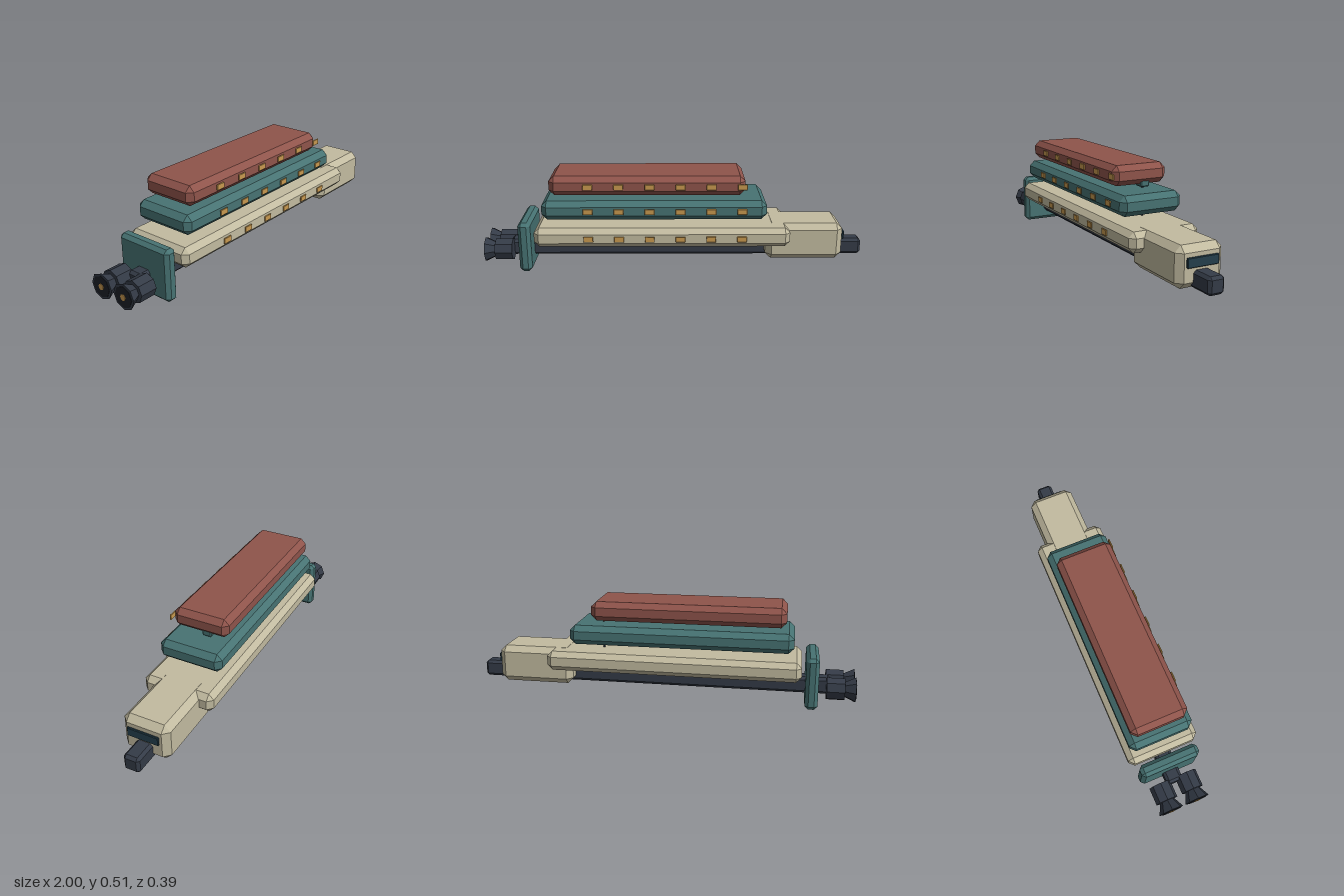
import * as THREE from 'three';
import { ConvexGeometry } from 'three/addons/geometries/ConvexGeometry.js';

const material = (color) => new THREE.MeshStandardMaterial({ color, flatShading: true });
const RED = material(0x8f544b);
const TEAL = material(0x477373);
const BEIGE = material(0xc2bba0);
const DARK = material(0x343b47);
const BLACK = material(0x1c2027);
const GLASS = material(0x243f4c);
const GOLD = material(0xc8994f);

// Box with every edge and corner chamfered, given as [min, max] per axis
function chamferBox(name, mat, x, y, z, bevel) {
  const half = [x, y, z].map(([a, b]) => (b - a) / 2);
  const points = [];
  for (const sx of [-1, 1]) for (const sy of [-1, 1]) for (const sz of [-1, 1]) {
    const signs = [sx, sy, sz];
    for (let axis = 0; axis < 3; axis++) {
      points.push(new THREE.Vector3(...half.map((h, i) => signs[i] * (i === axis ? h : h - bevel))));
    }
  }
  const mesh = new THREE.Mesh(new ConvexGeometry(points), mat);
  mesh.name = name;
  mesh.position.set((x[0] + x[1]) / 2, (y[0] + y[1]) / 2, (z[0] + z[1]) / 2);
  return mesh;
}

// Eight-sided cylinder lying along x between x0 and x1
function barrel(name, mat, x0, x1, r0, r1, y, z) {
  const geometry = new THREE.CylinderGeometry(r1, r0, x1 - x0, 8);
  geometry.rotateZ(-Math.PI / 2);
  const mesh = new THREE.Mesh(geometry, mat);
  mesh.name = name;
  mesh.position.set((x0 + x1) / 2, y, z);
  return mesh;
}

export function createModel() {
  const model = new THREE.Group();
  model.name = 'spaceship';

  // Keel beam running the whole length
  model.add(chamferBox('keelBeam', DARK, [-0.87, 1], [0.052, 0.138], [-0.046, 0.039], 0.014));

  // Stacked decks, each with a row of windows on the front side
  const decks = [
    { name: 'lowerDeck', mat: BEIGE, x: [-0.722, 0.599], y: [0.146, 0.248], z: [-0.193, 0.184], bevel: 0.027 },
    { name: 'middleDeck', mat: TEAL, x: [-0.679, 0.476], y: [0.288, 0.389], z: [-0.173, 0.164], bevel: 0.028 },
    { name: 'upperDeck', mat: RED, x: [-0.638, 0.364], y: [0.413, 0.514], z: [-0.153, 0.145], bevel: 0.028 },
  ];
  for (const deck of decks) {
    model.add(chamferBox(deck.name, deck.mat, deck.x, deck.y, deck.z, deck.bevel));
    const windows = new THREE.Group();
    windows.name = deck.name + 'Windows';
    const y = (deck.y[0] + deck.y[1]) / 2;
    const z = deck.z[1];
    for (let i = 0; i < 6; i++) {
      const x = -0.438 + i * 0.157;
      windows.add(chamferBox('window', GOLD, [x - 0.025, x + 0.025], [y - 0.015, y + 0.015], [z + 0.003, z + 0.01], 0.002));
    }
    model.add(windows);
  }

  // Bridge block at the bow with its windscreen
  model.add(chamferBox('bridge', BEIGE, [0.481, 0.882], [0.052, 0.249], [-0.127, 0.118], 0.031));
  model.add(chamferBox('windscreen', GLASS, [0.884, 0.896], [0.153, 0.2], [-0.086, 0.079], 0.003));

  // Stern bulkhead
  model.add(chamferBox('bulkhead', TEAL, [-0.808, -0.743], [0, 0.268], [-0.161, 0.153], 0.018));

  // Mast and sensor box
  const mast = new THREE.Mesh(new THREE.CylinderGeometry(0.006, 0.006, 0.17, 8), DARK);
  mast.name = 'mast';
  mast.position.set(0.32, 0.332, -0.036);
  model.add(mast, chamferBox('sensorBox', TEAL, [0.29, 0.35], [0.397, 0.433], [-0.061, -0.011], 0.006));

  // Twin engines: body, flared nozzle, dark mouth and glowing core
  for (const z of [-0.08, 0.064]) {
    const engine = new THREE.Group();
    engine.name = 'engine';
    engine.add(
      barrel('engineBody', DARK, -0.94, -0.85, 0.058, 0.058, 0.097, z),
      barrel('nozzle', DARK, -0.994, -0.93, 0.066, 0.034, 0.097, z),
      barrel('nozzleMouth', BLACK, -0.997, -0.98, 0.054, 0.05, 0.097, z),
      barrel('engineCore', GOLD, -1, -0.985, 0.016, 0.016, 0.097, z),
    );
    model.add(engine);
  }
  return model;
}
